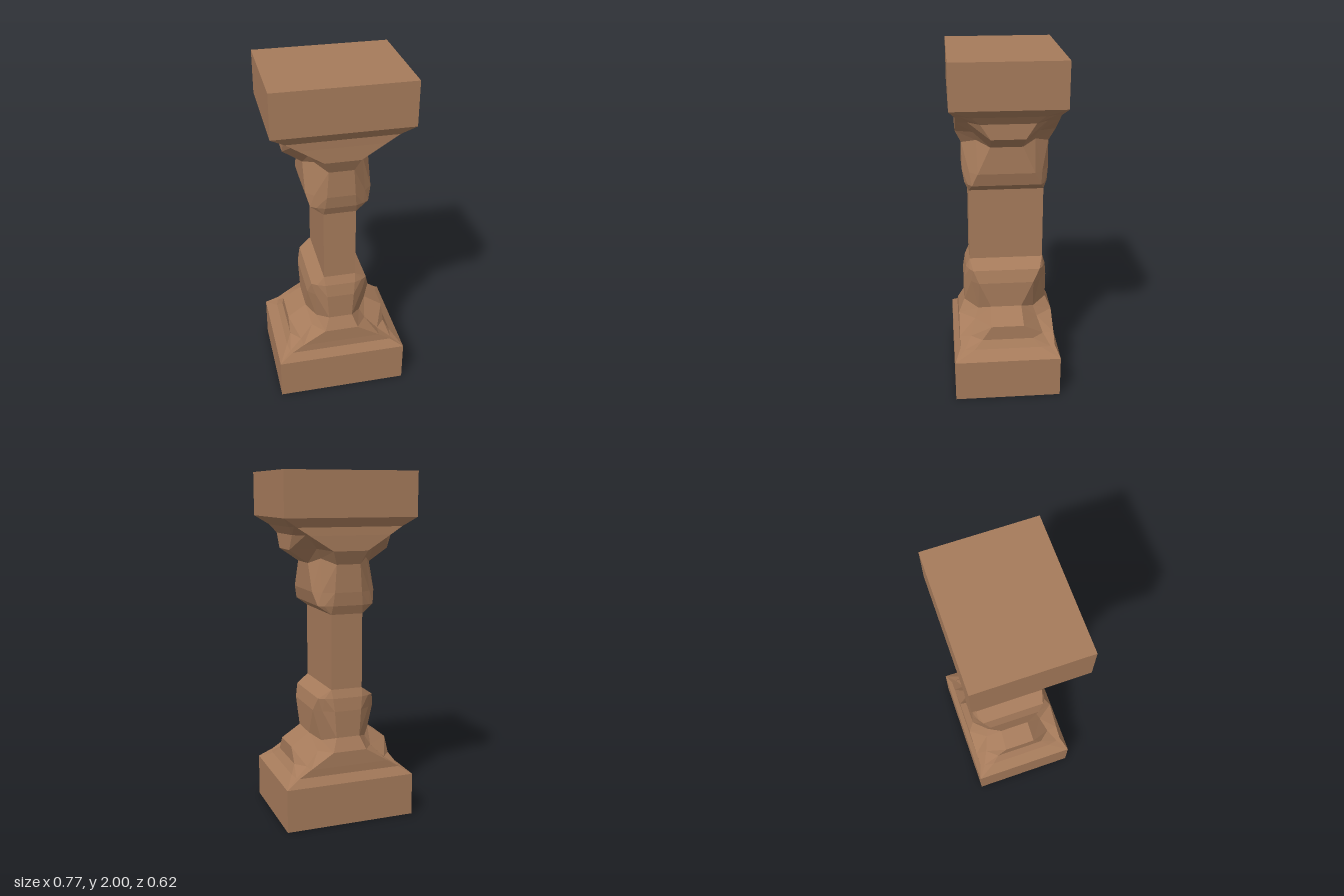
import * as THREE from 'three';

// Cross-section rows for one quadrant, from plinth up to shaft:
// [y, side-face corner x,z, front-face corner x,z, corner notch y,x,z, z shift]
const ROWS = [
  [0.25, 0.385, 0.31, 0.385, 0.31, 0.25, 0.385, 0.31, 0],
  [0.30, 0.325, 0.195, 0.305, 0.28, 0.295, 0.315, 0.255, -0.003],
  [0.345, 0.295, 0.15, 0.235, 0.28, 0.345, 0.24, 0.215, -0.005],
  [0.43, 0.295, 0.095, 0.10, 0.28, 0.42, 0.165, 0.185, -0.005],
  [0.505, 0.185, 0.09, 0.07, 0.245, 0.475, 0.135, 0.165, -0.005],
  [0.66, 0.185, 0.16, 0.08, 0.245, 0.66, 0.142, 0.205, -0.005],
  [0.735, 0.165, 0.195, 0.088, 0.235, 0.735, 0.133, 0.217, -0.008],
  [0.785, 0.093, 0.215, 0.093, 0.215, 0.785, 0.093, 0.215, -0.01],
];

// Full ring of twelve points made by mirroring one quadrant
function ring([y, ax, az, bx, bz, ny, nx, nz, dz]) {
  const quad = [[ax, y, az], [nx, ny, nz], [bx, y, bz]];
  const points = [];
  [[1, 1], [-1, 1], [-1, -1], [1, -1]].forEach(([sx, sz], q) => {
    const part = q % 2 ? [...quad].reverse() : quad;
    for (const [x, py, z] of part) points.push([x * sx, py, z * sz + dz]);
  });
  return points;
}

// Faceted band through the rings; upside down for the capital
function carvedGeometry(inverted) {
  const rings = ROWS.map(ring);
  const pos = [];
  const tri = (a, b, c) => {
    for (const p of inverted ? [a, c, b] : [a, b, c]) {
      pos.push(p[0], inverted ? 2 - p[1] : p[1], p[2]);
    }
  };
  for (let r = 0; r < rings.length - 1; r++) {
    for (let i = 0; i < 12; i++) {
      const j = (i + 1) % 12;
      const a = rings[r][i], b = rings[r + 1][i], c = rings[r + 1][j], d = rings[r][j];
      if (Math.floor(i / 3) % 2) { tri(a, b, c); tri(a, c, d); }
      else { tri(a, b, d); tri(b, c, d); }
    }
  }
  const geo = new THREE.BufferGeometry();
  geo.setAttribute('position', new THREE.Float32BufferAttribute(pos, 3));
  geo.computeVertexNormals();
  return geo;
}

export function createModel() {
  const group = new THREE.Group();
  group.name = 'pillar';
  const clay = new THREE.MeshStandardMaterial({ color: 0xa67b5b });
  clay.name = 'clay brown';

  const add = (name, geo, y = 0, z = 0) => {
    const mesh = new THREE.Mesh(geo, clay);
    mesh.name = name;
    mesh.position.set(0, y, z);
    group.add(mesh);
  };

  // Slabs at both ends
  add('plinth', new THREE.BoxGeometry(0.77, 0.25, 0.62), 0.125);
  add('topSlab', new THREE.BoxGeometry(0.77, 0.25, 0.62), 1.875);

  // Plain shaft
  add('shaft', new THREE.BoxGeometry(0.186, 0.43, 0.43), 1, -0.01);

  // Carved base and its mirrored capital
  add('carvedBase', carvedGeometry(false));
  add('carvedCapital', carvedGeometry(true));

  return group;
}
